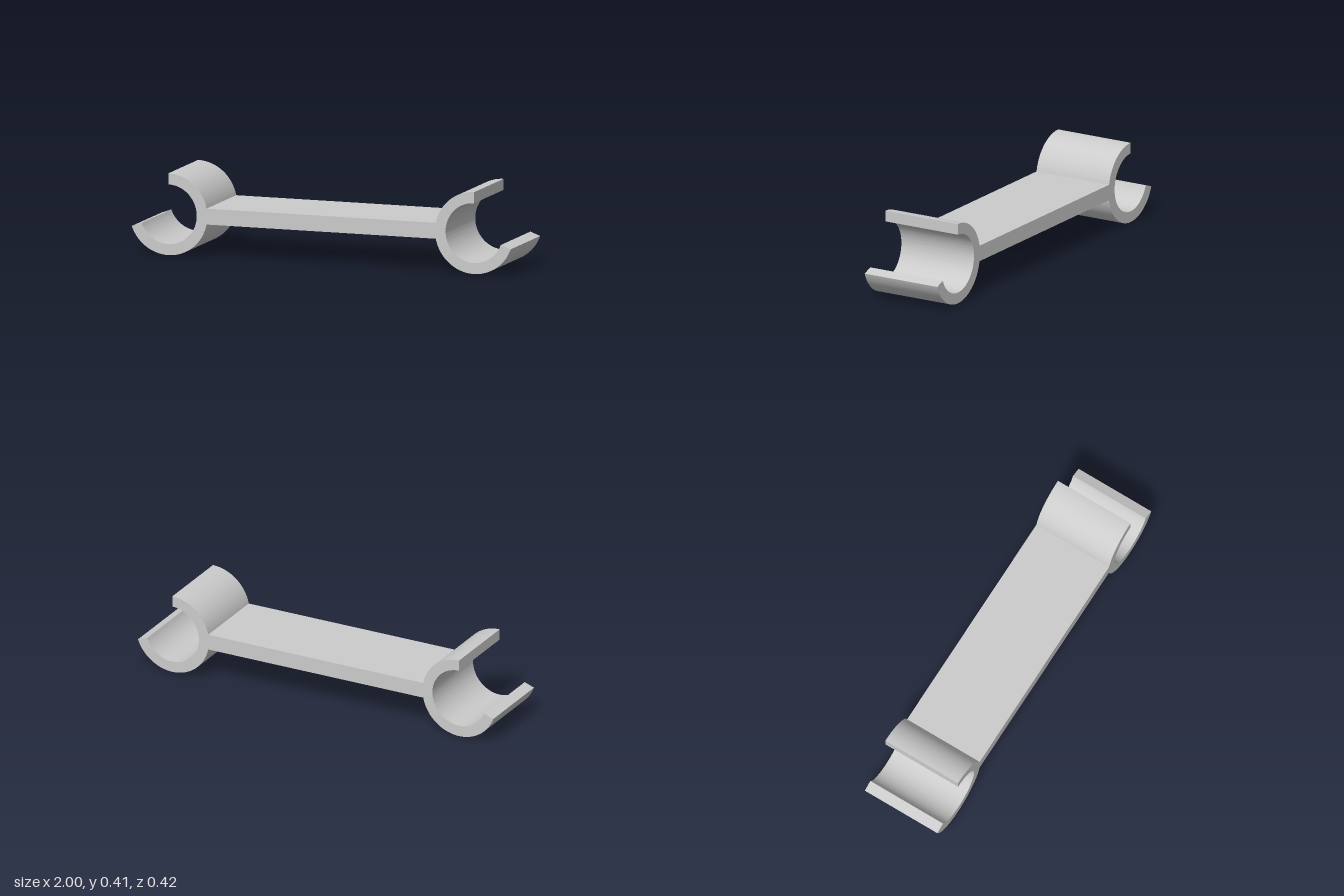
import * as THREE from 'three';
import { toCreasedNormals } from 'three/addons/utils/BufferGeometryUtils.js';

const OUTER = 0.2055;    // clip outer radius, also the height of its centre
const INNER = 0.15;      // clip inner radius
const CLIP_X = 0.807;    // clip centre
const BAR_HALF = 0.04;   // half thickness of the bar
const DEPTH = 0.424;

export function createModel() {
  const group = new THREE.Group();
  group.name = 'doubleEndedClip';

  const rad = THREE.MathUtils.degToRad;
  const join = Math.asin(BAR_HALF / OUTER); // where the bar meets a clip
  const top = rad(90);
  const profile = new THREE.Shape();

  // Left clip (+x): lower outer arc, inner arc, upper outer arc
  profile.absarc(CLIP_X, OUTER, OUTER, Math.PI + join, rad(340), false);
  profile.absarc(CLIP_X, OUTER, INNER, rad(340), top, true);
  profile.absarc(CLIP_X, OUTER, OUTER, top, Math.PI - join, false);

  // Right clip (-x), mirrored; the straight links between the clips form the bar
  profile.absarc(-CLIP_X, OUTER, OUTER, join, top, false);
  profile.absarc(-CLIP_X, OUTER, INNER, top, rad(-160), true);
  profile.absarc(-CLIP_X, OUTER, OUTER, rad(200), 2 * Math.PI - join, false);
  profile.closePath();

  const geometry = new THREE.ExtrudeGeometry(profile, {
    depth: DEPTH, bevelEnabled: false, curveSegments: 48,
  });
  geometry.translate(0, 0, -DEPTH / 2);

  const body = new THREE.Mesh(
    toCreasedNormals(geometry, rad(20)),
    new THREE.MeshStandardMaterial({ color: 0xcccccc }),
  );
  body.name = 'barWithClips';
  group.add(body);
  return group;
}
